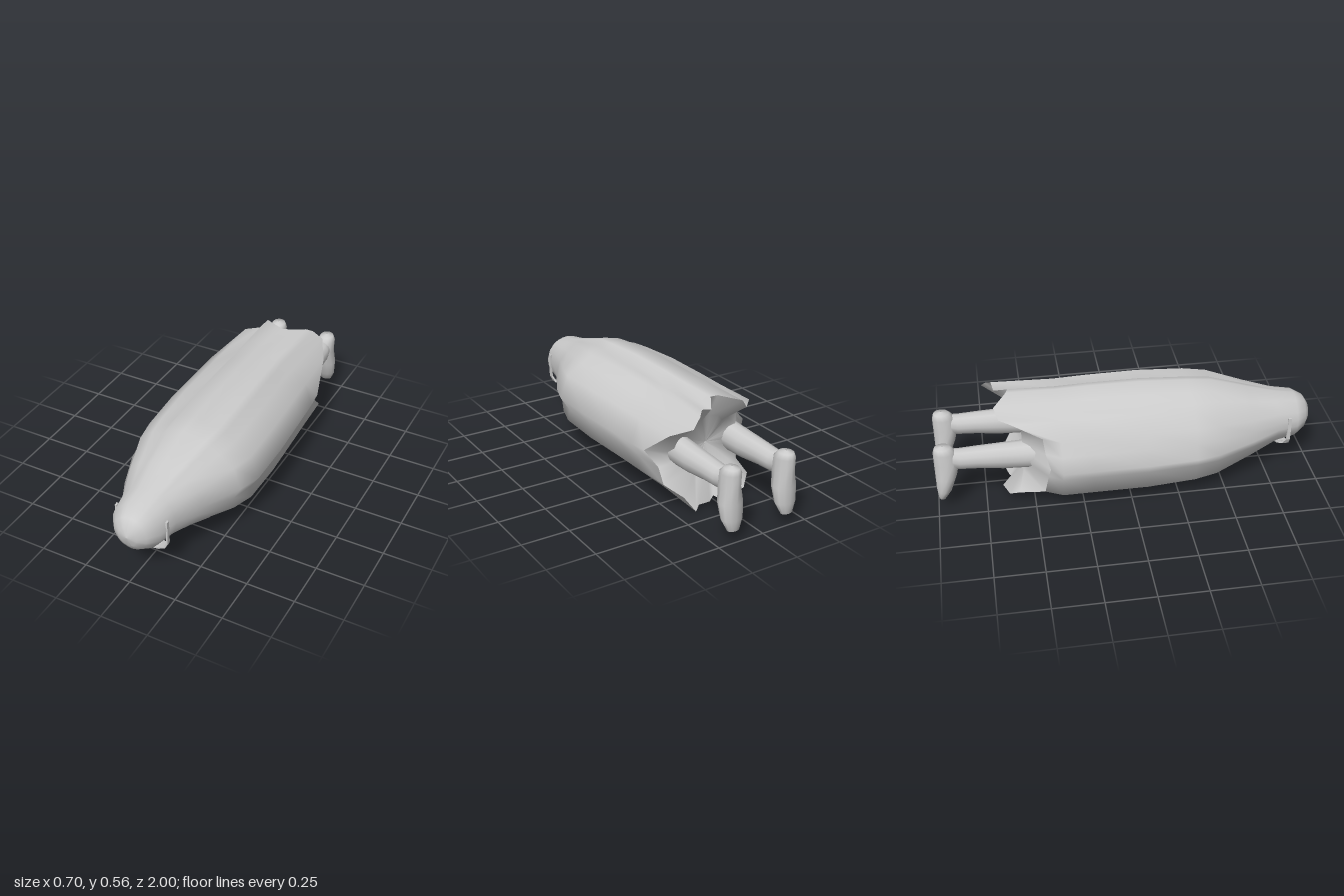
import * as THREE from 'three';

const grey = new THREE.MeshStandardMaterial({ color: 0xcccccc, side: THREE.DoubleSide });

// Skins a list of equal-length closed rings of [x, y, z]
function loft(name, rings, flat = false) {
  const n = rings[0].length, idx = [];
  for (let r = 0; r < rings.length - 1; r++) {
    for (let i = 0; i < n; i++) {
      const a = r * n + i, b = r * n + (i + 1) % n;
      idx.push(a, a + n, b, b, a + n, b + n);
    }
  }
  let geo = new THREE.BufferGeometry();
  geo.setAttribute('position', new THREE.Float32BufferAttribute(rings.flat(2), 3));
  geo.setIndex(idx);
  if (flat) geo = geo.toNonIndexed();
  geo.computeVertexNormals();
  const mesh = new THREE.Mesh(geo, grey);
  mesh.name = name;
  return mesh;
}

// Folded outline of the cloth with the hem depth at each fold: [x, y, hemZ]
const folds = [
  [0.35, 0.29, -0.46], [0.305, 0.415, -0.62], [0.215, 0.475, -0.73], [0.165, 0.52, -0.71],
  [0.135, 0.54, -0.68], [0.075, 0.525, -0.67], [0.03, 0.555, -0.6], [-0.005, 0.558, -0.61],
  [-0.1, 0.535, -0.68], [-0.14, 0.485, -0.66], [-0.2, 0.49, -0.6], [-0.285, 0.418, -0.45],
  [-0.295, 0.33, -0.44], [-0.35, 0.265, -0.42], [-0.31, 0.2, -0.43], [-0.29, 0.09, -0.45],
  [-0.22, 0.08, -0.58], [-0.165, 0.035, -0.63], [-0.04, 0.0, -0.66], [0, 0.02, -0.6],
  [0.035, 0.005, -0.62], [0.12, 0.025, -0.65], [0.15, 0.005, -0.67], [0.2, 0.08, -0.64],
  [0.31, 0.145, -0.58], [0.3, 0.21, -0.52],
];

// Cloth stations from head to hem: [z, -x width, +x width, bottom, top, fold strength]
const stations = [
  [1.0, 0.001, 0.001, 0.28, 0.282, 0],
  [0.99, 0.05, 0.05, 0.23, 0.335, 0],
  [0.965, 0.09, 0.09, 0.19, 0.375, 0],
  [0.91, 0.132, 0.132, 0.155, 0.405, 0],
  [0.8, 0.155, 0.152, 0.135, 0.425, 0.15],
  [0.65, 0.23, 0.21, 0.09, 0.47, 0.5],
  [0.45, 0.31, 0.31, 0.025, 0.533, 0.85],
  [0.33, 0.335, 0.35, 0.014, 0.545, 1],
  [0.08, 0.35, 0.35, 0, 0.56, 1],
  [-0.2, 0.35, 0.335, 0, 0.56, 1],
  [-0.36, 0.35, 0.325, 0, 0.556, 1],
];

function wrappedBody() {
  const rings = stations.map(([z, wl, wr, lo, hi, k]) => folds.map(([x, y]) => {
    const u = x / 0.35, v = (y - 0.28) / 0.28;
    const s = k + (1 - k) / Math.hypot(u, v);
    return [u * s * (u < 0 ? wl : wr), (lo + hi) / 2 + v * s * (hi - lo) / 2, z];
  }));
  // ragged hem, drawn in a little at the sides
  const hem = folds.map(([x, y, z]) => [x * (Math.abs(x) > 0.25 ? (x < 0 ? 0.85 : 0.9) : 1), y, z]);
  // cloth tucked back inwards around the legs
  const tuck = (s, z) => folds.map(([x, y]) => [x * s, 0.28 + (y - 0.28) * s, z]);
  const group = new THREE.Group();
  group.name = 'wrappedBody';
  group.add(loft('cloth', [...rings, hem]),
    loft('tuckedCloth', [hem, tuck(0.55, -0.55), tuck(0.01, -0.52)]));
  return group;
}

const around = (n, f) => Array.from({ length: n }, (_, i) => {
  const a = i / n * Math.PI * 2;
  return f(Math.cos(a), Math.sin(a));
});

function leg(side) {
  const group = new THREE.Group();
  group.name = side > 0 ? 'leftLeg' : 'rightLeg';
  // shin: [z, half width, half height, centre y]
  const shin = [[-0.4, 0.07, 0.08, 0.28], [-0.65, 0.062, 0.07, 0.28], [-0.78, 0.055, 0.06, 0.285],
    [-0.87, 0.05, 0.056, 0.285], [-0.91, 0.04, 0.056, 0.29], [-0.96, 0.035, 0.05, 0.29]];
  group.add(loft('shin', shin.map(([z, w, h, y]) => around(12, (c, s) => [c * w, y + s * h, z]))));
  // foot, toes down: [y, instep z, sole z, half width]
  const foot = [[0.049, -0.975, -0.98, 0.002], [0.055, -0.955, -0.995, 0.032], [0.11, -0.92, -1, 0.056],
    [0.19, -0.89, -1, 0.062], [0.27, -0.872, -1, 0.048], [0.335, -0.885, -1, 0.05],
    [0.362, -0.91, -0.992, 0.036], [0.37, -0.945, -0.955, 0.002]];
  group.add(loft('foot', foot.map(([y, z0, z1, w]) =>
    around(12, (c, s) => [c * w, y, (z0 + z1) / 2 + s * (z0 - z1) / 2]))));
  group.position.x = 0.155 * side;
  return group;
}

function strap() {
  // half the band: [x, y, front z, back z], mirrored to the other side
  const half = [[0.138, 0.33, 0.87, 0.852], [0.139, 0.25, 0.87, 0.852], [0.137, 0.2, 0.87, 0.85],
    [0.122, 0.168, 0.87, 0.835], [0.09, 0.152, 0.87, 0.815], [0.045, 0.143, 0.87, 0.8]];
  const path = [...half.map(([x, ...p]) => [-x, ...p]), [0, 0.135, 0.868, 0.79], ...half.slice().reverse()];
  const rings = path.map(([x, y, z0, z1], i) => {
    const a = path[Math.max(i - 1, 0)], b = path[Math.min(i + 1, path.length - 1)];
    const d = new THREE.Vector2(b[0] - a[0], b[1] - a[1]).normalize().multiplyScalar(0.005);
    const nx = -d.y, ny = d.x;
    return [[x + nx, y + ny, z0], [x - nx, y - ny, z0], [x - nx, y - ny, z1], [x + nx, y + ny, z1]];
  });
  const close = (r) => r.map(() => [0, 1, 2].map((k) => r.reduce((s, p) => s + p[k], 0) / r.length));
  return loft('chinStrap', [close(rings[0]), ...rings, close(rings[rings.length - 1])], true);
}

export function createModel() {
  const model = new THREE.Group();
  model.name = 'wrappedFigure';
  model.add(wrappedBody(), leg(1), leg(-1), strap());
  return model;
}
